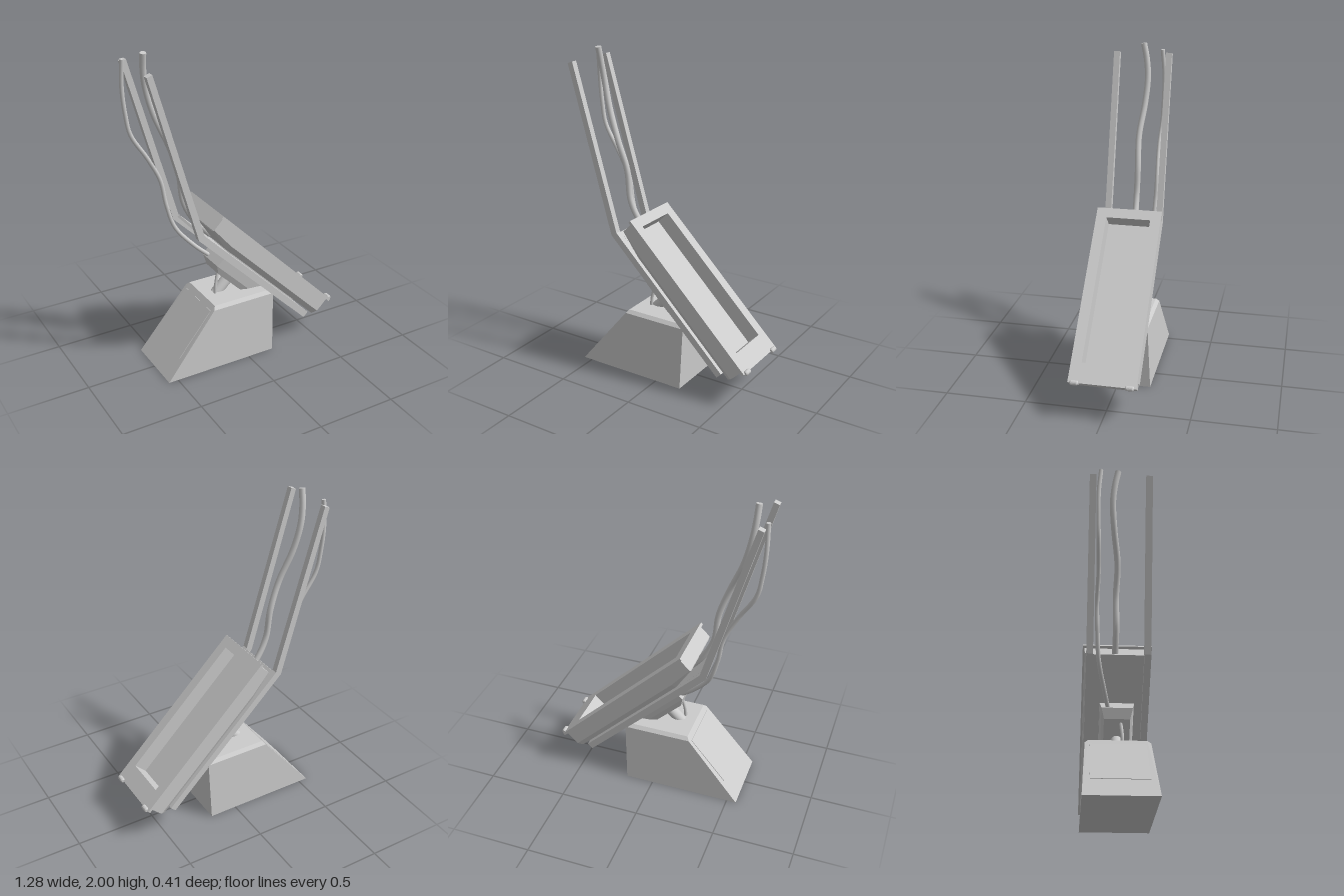
import * as THREE from 'three';
import { ConvexGeometry } from 'three/addons/geometries/ConvexGeometry.js';

const grey = new THREE.MeshStandardMaterial({ color: 0xcccccc, flatShading: true });
const smooth = new THREE.MeshStandardMaterial({ color: 0xcccccc });

function add(parent, name, geometry, material = grey) {
  const mesh = new THREE.Mesh(geometry, material);
  mesh.name = name;
  parent.add(mesh);
  return mesh;
}

// Convex solid from [x, y, halfWidth] corners mirrored in z
function mirroredHull(corners) {
  const points = [];
  for (const [x, y, w] of corners) {
    points.push(new THREE.Vector3(x, y, w), new THREE.Vector3(x, y, -w));
  }
  return new ConvexGeometry(points);
}

// Rectangular frame lying flat, from height y0 to y1, with a rectangular opening
function frame(x0, x1, halfWidth, y0, y1, hole) {
  const rect = (T, a, b, w) => new T([[a, -w], [b, -w], [b, w], [a, w]].map(p => new THREE.Vector2(...p)));
  const shape = rect(THREE.Shape, x0, x1, halfWidth);
  shape.holes.push(rect(THREE.Path, hole[0], hole[1], hole[2]));
  return new THREE.ExtrudeGeometry(shape, { depth: y1 - y0, bevelEnabled: false })
    .rotateX(-Math.PI / 2).translate(0, y0, 0);
}

function box(x0, x1, y0, y1, halfWidth) {
  return new THREE.BoxGeometry(x1 - x0, y1 - y0, halfWidth * 2)
    .translate((x0 + x1) / 2, (y0 + y1) / 2, 0);
}

// Cable with capped ends
function cable(parent, name, path, radius) {
  const points = path.map(p => new THREE.Vector3(...p));
  const curve = new THREE.CatmullRomCurve3(points);
  const group = new THREE.Group();
  group.name = name;
  parent.add(group);
  add(group, name + 'Sleeve', new THREE.TubeGeometry(curve, 48, radius, 10), smooth);
  for (const t of [0, 1]) {
    const cap = add(group, name + 'End', new THREE.CircleGeometry(radius, 10));
    const out = curve.getTangent(t).multiplyScalar(t ? 1 : -1);
    cap.position.copy(curve.getPoint(t));
    cap.quaternion.setFromUnitVectors(new THREE.Vector3(0, 0, 1), out);
  }
}

export function createModel() {
  const model = new THREE.Group();
  model.name = 'tiltedScreenStand';

  // Wedge-shaped foot with a bevelled top
  add(model, 'base', mirroredHull([
    [-0.56, 0, 0.203], [0.175, 0, 0.203], [0.185, 0.4, 0.185],
    [-0.235, 0.4, 0.185], [-0.22, 0.42, 0.165], [0.16, 0.42, 0.165],
  ]));

  // Thin cover on the sloping back of the base
  add(model, 'baseCover', mirroredHull([
    [-0.465, 0.117, 0.16], [-0.245, 0.388, 0.16], [-0.468, 0.119, 0.16], [-0.248, 0.39, 0.16],
  ]));

  // Everything tilted: x runs down the screen, y points out of it
  const tilted = new THREE.Group();
  tilted.name = 'screenAssembly';
  tilted.rotation.z = -Math.PI / 4;
  model.add(tilted);

  // Screen housing: solid back with chamfered edges, open rim, front plate
  add(tilted, 'housingBack', mirroredHull([
    [-0.836, 0.505, 0.192], [0.25, 0.505, 0.192],
    [-0.836, 0.5, 0.188], [-0.832, 0.494, 0.175],
    [-0.66, 0.49, 0.192], [0.25, 0.49, 0.192],
    [-0.66, 0.456, 0.17], [0.245, 0.456, 0.17],
  ]));
  const opening = [-0.788, 0.148, 0.138];
  add(tilted, 'housingRim', frame(-0.836, 0.252, 0.192, 0.505, 0.586, opening));
  add(tilted, 'frontPlate', frame(-0.853, 0.272, 0.203, 0.586, 0.603, opening));

  // Backing plate between the rails, and the mount under it
  add(tilted, 'backingPlate', box(-0.855, 0.19, 0.43, 0.446, 0.147));
  add(tilted, 'mountSpacer', box(-0.55, 0.1, 0.4, 0.458, 0.1));
  add(tilted, 'mount', mirroredHull([
    [-0.565, 0.41, 0.1], [-0.15, 0.41, 0.1], [-0.565, 0.34, 0.09],
    [-0.51, 0.305, 0.075], [-0.2, 0.305, 0.075], [-0.15, 0.34, 0.09],
  ]));

  // Neck joining the mount to the base
  const neck = add(tilted, 'neck', new THREE.CylinderGeometry(0.035, 0.035, 0.2, 20), smooth);
  neck.position.set(-0.37, 0.25, 0);

  // Bent rails and lower feet on both sides
  const rail = new THREE.Shape([
    [-0.62, 1.925], [-0.33, 0.9], [0.425, 0.148], [0.455, 0.178], [-0.293, 0.923], [-0.587, 1.937],
  ].map(p => new THREE.Vector2(...p)));
  for (const side of [1, -1]) {
    const prefix = side > 0 ? 'left' : 'right';
    add(model, prefix + 'Rail',
      new THREE.ExtrudeGeometry(rail, { depth: 0.038, bevelEnabled: false })
        .translate(0, 0, side * 0.166 - 0.019));
    const foot = add(model, prefix + 'Foot', new THREE.LatheGeometry(
      [[0, -0.026], [0.01, -0.026], [0.015, -0.018], [0.015, 0.018], [0.01, 0.026], [0, 0.026]]
        .map(p => new THREE.Vector2(...p)), 14));
    foot.rotation.x = Math.PI / 2;
    foot.position.set(0.62, 0.235, side * 0.163);
  }

  // Cables
  cable(model, 'thickCable', [
    [-0.545, 2, -0.015], [-0.54, 1.9, -0.035], [-0.525, 1.79, -0.045], [-0.485, 1.63, -0.035],
    [-0.41, 1.44, -0.012], [-0.35, 1.26, -0.018], [-0.325, 1.07, -0.015],
    [-0.26, 0.94, -0.018], [-0.15, 0.81, -0.018],
  ], 0.019);
  cable(model, 'thinCable', [
    [-0.625, 1.95, -0.12], [-0.628, 1.79, -0.133], [-0.615, 1.63, -0.133], [-0.59, 1.5, -0.13],
    [-0.495, 1.34, -0.125], [-0.415, 1.18, -0.13], [-0.385, 1.02, -0.125],
    [-0.335, 0.86, -0.115], [-0.23, 0.73, -0.08], [-0.13, 0.64, -0.05],
  ], 0.013);
  cable(model, 'baseCable', [
    [-0.145, 0.4, 0.03], [-0.14, 0.47, 0.03], [-0.115, 0.58, 0.02],
  ], 0.01);

  return model;
}
